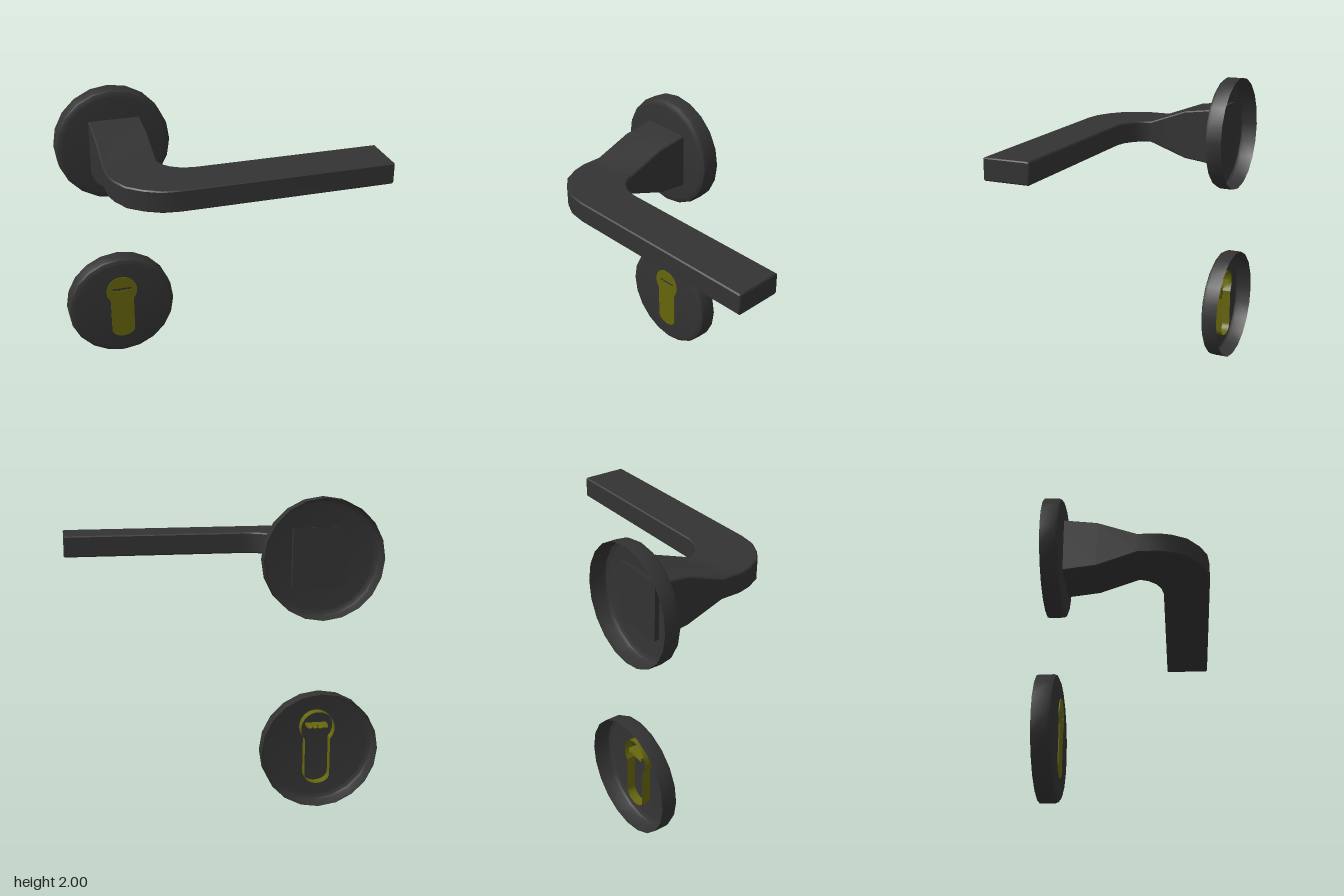
import * as THREE from 'three';
import { toCreasedNormals } from 'three/addons/utils/BufferGeometryUtils.js';

const black = new THREE.MeshStandardMaterial({ color: 0x333333, side: THREE.DoubleSide });
const brass = new THREE.MeshStandardMaterial({ color: 0x66660d, side: THREE.DoubleSide });

function mesh(name, geometry, material) {
  const m = new THREE.Mesh(geometry, material);
  m.name = name;
  return m;
}

// Skin through rings of equal point count, with optional end caps
function loft(rings, capped) {
  const n = rings[0].length;
  const index = [];
  for (let i = 0; i < rings.length - 1; i++) {
    for (let j = 0; j < n; j++) {
      const a = i * n + j, b = i * n + (j + 1) % n;
      index.push(a, b, b + n, a, b + n, a + n);
    }
  }
  if (capped) {
    const last = (rings.length - 1) * n;
    for (let j = 1; j < n - 1; j++) {
      index.push(0, j + 1, j, last, last + j, last + j + 1);
    }
  }
  const g = new THREE.BufferGeometry();
  g.setAttribute('position', new THREE.Float32BufferAttribute(rings.flat(2), 3));
  g.setIndex(index);
  return toCreasedNormals(g, 0.55);
}

// Dished round plate, open at the back
function rosette(name, y) {
  const profile = [[0.38, -0.52], [0.38, -0.43], [0.372, -0.411], [0.352, -0.402], [0.34, -0.4], [0, -0.4]];
  const g = new THREE.LatheGeometry(profile.map(([r, z]) => new THREE.Vector2(r, z)), 20);
  g.rotateX(Math.PI / 2);
  const m = mesh(name, toCreasedNormals(g, 0.55), black);
  m.position.set(-0.6, y, 0);
  return m;
}

// Lever: each section is outer x, z, inner x, z, half height
function lever() {
  const sections = [
    [-0.76, -0.43, -0.42, -0.43, 0.19],
    [-0.76, -0.19, -0.42, -0.19, 0.16],
    [-0.76, 0.06, -0.42, 0.06, 0.07],
    [-0.76, 0.2, -0.415, 0.08, 0.07],
    [-0.74, 0.28, -0.4, 0.12, 0.07],
    [-0.69, 0.38, -0.36, 0.165, 0.07],
    [-0.6, 0.455, -0.3, 0.2, 0.07],
    [-0.5, 0.505, -0.23, 0.215, 0.07],
    [-0.39, 0.52, -0.2, 0.215, 0.07],
    [0.965, 0.52, 0.965, 0.215, 0.07],
    [0.972, 0.513, 0.972, 0.222, 0.063],
  ];
  const bevel = 0.008;
  const rings = sections.map(([ox, oz, ix, iz, h]) => {
    const half = Math.hypot(ix - ox, iz - oz) / 2;
    const at = (u, v) => {
      const t = (u / half + 1) / 2;
      return [ox + (ix - ox) * t, 1.62 + v, oz + (iz - oz) * t];
    };
    const w = half - bevel, k = h - bevel;
    return [at(half, -k), at(half, k), at(w, h), at(-w, h),
      at(-half, k), at(-half, -k), at(-w, -h), at(w, -h)];
  });
  return mesh('lever', loft(rings, true), black);
}

// Lock cylinder: keyhole-shaped face with a wavy slot and open-backed walls
function lockCylinder() {
  const group = new THREE.Group();
  group.name = 'lockCylinder';
  const join = 0.715;
  const outline = new THREE.Shape();
  outline.absarc(-0.6, 0.515, 0.11, -join, Math.PI + join, false);
  outline.absellipse(-0.6, 0.2, 0.083, 0.06, Math.PI, 2 * Math.PI, false);

  const slot = new THREE.Path([
    [-0.667, 0.538], [-0.53, 0.538], [-0.53, 0.522], [-0.55, 0.516], [-0.565, 0.524],
    [-0.58, 0.514], [-0.597, 0.522], [-0.615, 0.513], [-0.63, 0.52], [-0.667, 0.518],
  ].map(([x, y]) => new THREE.Vector2(x, y)));
  outline.holes.push(slot);

  const face = new THREE.ShapeGeometry(outline, 10);
  face.translate(0, 0, -0.394);
  group.add(mesh('cylinderFace', face, brass));

  const walls = (name, points) => {
    const rings = [-0.46, -0.394].map(z => points.map(p => [p.x, p.y, z]));
    group.add(mesh(name, loft(rings, false), brass));
  };
  walls('cylinderWalls', outline.getPoints(10));
  walls('keySlotWalls', slot.getPoints().reverse());
  return group;
}

export function createModel() {
  const model = new THREE.Group();
  model.name = 'doorHandleSet';
  model.add(
    rosette('handleRosette', 1.62),
    lever(),
    rosette('lockRosette', 0.383),
    lockCylinder(),
  );
  return model;
}
